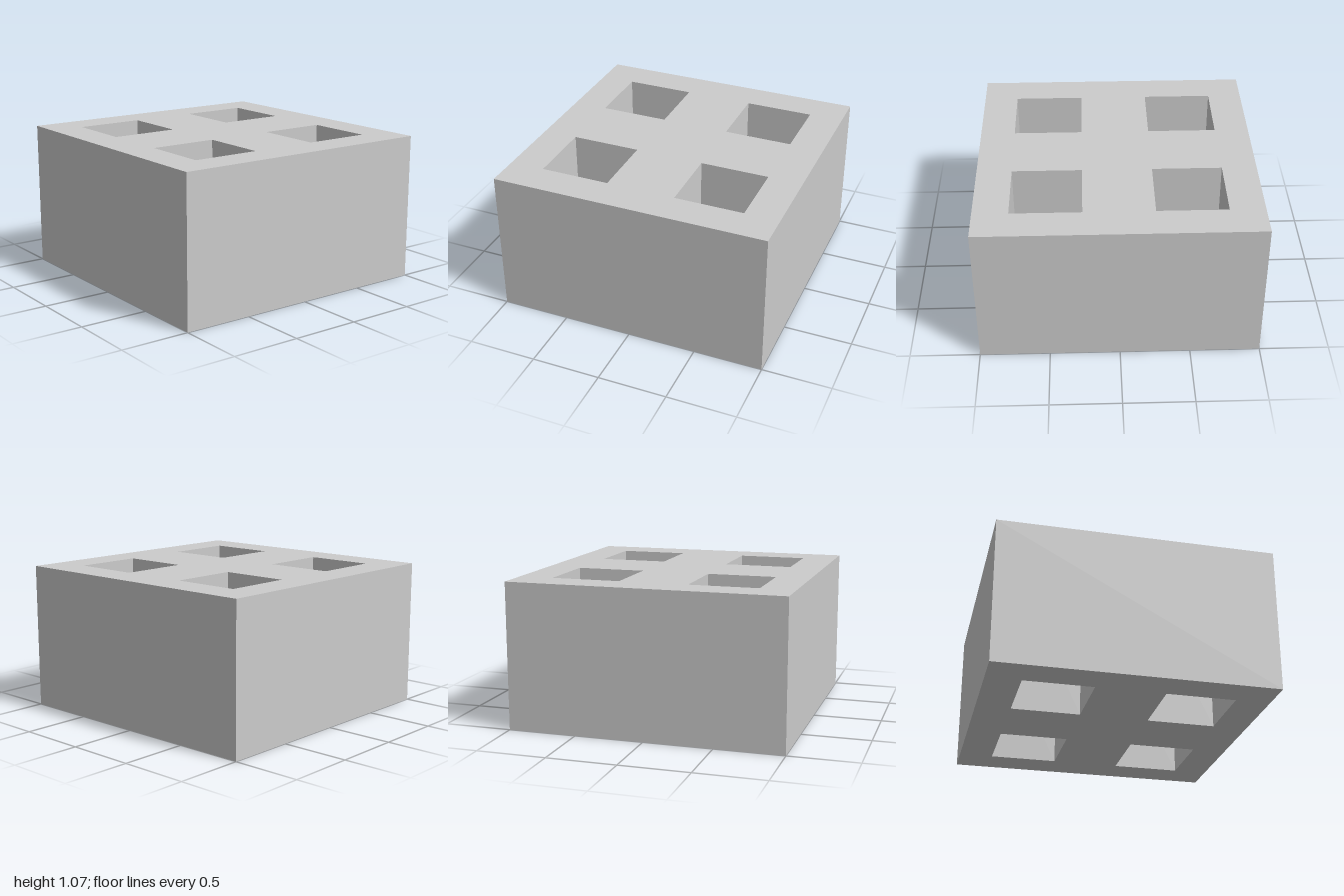
import * as THREE from 'three';

const SIZE = 2, HEIGHT = 1.067, HOLE = 0.5, SPACING = 0.5;

// Adds a square outline centred on (cx, cy) to a shape or path
function square(path, cx, cy, size) {
  const h = size / 2;
  path.moveTo(cx - h, cy - h);
  path.lineTo(cx + h, cy - h);
  path.lineTo(cx + h, cy + h);
  path.lineTo(cx - h, cy + h);
  path.closePath();
  return path;
}

export function createModel() {
  const group = new THREE.Group();
  group.name = 'perforatedBlock';

  // Square footprint with a 2 x 2 grid of square through-holes
  const footprint = square(new THREE.Shape(), 0, 0, SIZE);
  for (const x of [-SPACING, SPACING]) {
    for (const z of [-SPACING, SPACING]) {
      footprint.holes.push(square(new THREE.Path(), x, z, HOLE));
    }
  }

  // Extruded upwards from the ground
  const geometry = new THREE.ExtrudeGeometry(footprint, { depth: HEIGHT, bevelEnabled: false });
  geometry.rotateX(-Math.PI / 2);

  const material = new THREE.MeshStandardMaterial({ color: 0xcccccc, flatShading: true });
  const block = new THREE.Mesh(geometry, material);
  block.name = 'block';
  group.add(block);
  return group;
}
